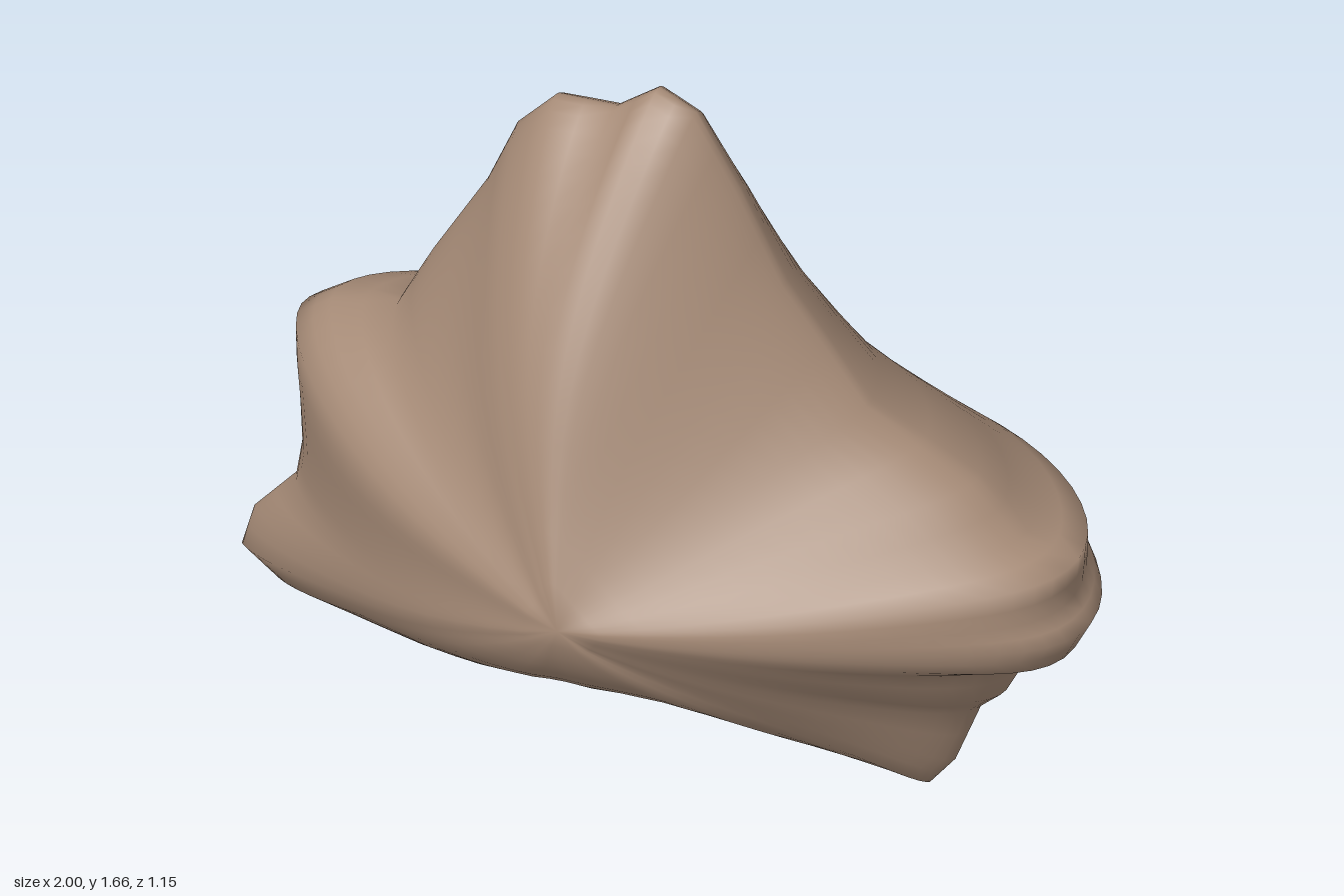
import * as THREE from 'three';

// Outline of the rock from the front, clockwise from the summit.
// p and q set how each lobe thins from the middle (s = 0) to its rim (s = 1).
const LOBES = [
  { p: 1, q: 0.7, pts: [[-0.02, 1.66], [0.07, 1.62], [0.17, 1.45], [0.28, 1.23]] },
  { p: 1.15, q: 0.68, pts: [[0.48, 0.97], [0.73, 0.84]] },
  { p: 1.2, q: 0.48, pts: [[0.85, 0.74], [0.97, 0.7], [0.96, 0.6], [1, 0.54], [0.96, 0.46], [0.87, 0.44]] },
  { p: 1.15, q: 0.65, pts: [[0.8, 0.3], [0.74, 0.24]] },
  { p: 1.1, q: 0.8, pts: [[0.68, 0.08], [0.62, 0], [0.44, 0.03]] },
  { p: 1.8, q: 0.8, pts: [[0.3, 0.13], [0.12, 0.17], [0, 0.13], [-0.18, 0.15], [-0.3, 0.13], [-0.4, 0.08]] },
  { p: 1.35, q: 0.85, pts: [[-0.63, 0.06], [-0.92, 0.09], [-1, 0.15], [-0.97, 0.26], [-0.87, 0.38]] },
  { p: 1.2, q: 0.55, pts: [[-0.85, 0.5], [-0.85, 0.67], [-0.86, 0.83], [-0.78, 0.89]] },
  { p: 1.15, q: 0.68, pts: [[-0.63, 0.91], [-0.55, 1.07]] },
  { p: 1, q: 0.7, pts: [[-0.42, 1.3], [-0.35, 1.47], [-0.26, 1.57], [-0.12, 1.58]] },
];
const CENTRE = { x: 0, y: 0.6 };
const DEPTH = 0.575;
const RINGS = 16;
const { lerp, clamp } = THREE.MathUtils;

// Outline with a midpoint in every segment
function makeRim() {
  const raw = LOBES.flatMap(({ p, q, pts }) => pts.map(([x, y]) => ({ x, y, p, q })));
  return raw.flatMap((a, i) => {
    const b = raw[(i + 1) % raw.length];
    const mid = {};
    for (const k of ['x', 'y', 'p', 'q']) mid[k] = (a[k] + b[k]) / 2;
    return [a, mid];
  });
}

// Softer outline and lobe settings, averaged over neighbours
function soften(rim, reach) {
  const n = rim.length;
  const weight = 1 / (2 * reach + 1);
  return rim.map((_, i) => {
    const sum = { x: 0, y: 0, p: 0, q: 0 };
    for (let k = -reach; k <= reach; k++) {
      const o = rim[(i + k + n) % n];
      for (const key of Object.keys(sum)) sum[key] += o[key] * weight;
    }
    return sum;
  });
}

// Surface point at s between the middle and the rim, on the front (side 1) or back (-1)
function surfacePoint(rim, soft, s, side) {
  const blend = s ** 3;
  const high = clamp(rim.y - CENTRE.y, 0, 1) ** 2;
  const lean = -0.07 * Math.sin(Math.PI * s) * high;
  const x = lerp(CENTRE.x, lerp(soft.x, rim.x, blend), s) + lean;
  const y = lerp(CENTRE.y, lerp(soft.y, rim.y, blend), s);
  const rounded = (Math.hypot(s, 0.04) - 0.04) / (Math.hypot(1, 0.04) - 0.04);
  const thick = DEPTH * Math.pow(1 - Math.pow(rounded, soft.p), soft.q);
  // The right arm sits towards the back
  const fade = 4 * s * (1 - s);
  const shift = -0.09 * fade * Math.max(0, x);
  const bump = 0.01 * fade * Math.sin(5.3 * x + 1.7 * side) * Math.sin(6.1 * y + side);
  return [x, y, side * (thick + bump) + shift];
}

function rockGeometry() {
  const rim = makeRim();
  const soft = soften(rim, 3);
  const n = rim.length;
  const positions = [];
  const index = [];

  // Shared rim
  rim.forEach(({ x, y }) => positions.push(x, y, 0));

  for (const side of [1, -1]) {
    const tri = (a, b, c) => (side > 0 ? index.push(a, b, c) : index.push(a, c, b));
    const start = positions.length / 3;
    positions.push(CENTRE.x, CENTRE.y, side * DEPTH);

    // Rings between the middle and the rim, closer together near the rim
    for (let i = 1; i < RINGS; i++) {
      const s = Math.sin((i / RINGS) * Math.PI / 2);
      for (let j = 0; j < n; j++) positions.push(...surfacePoint(rim[j], soft[j], s, side));
    }

    const at = (i, j) => (i === RINGS ? j % n : start + 1 + (i - 1) * n + (j % n));
    for (let j = 0; j < n; j++) {
      tri(start, at(1, j + 1), at(1, j));
      for (let i = 1; i < RINGS; i++) {
        tri(at(i, j), at(i, j + 1), at(i + 1, j + 1));
        tri(at(i, j), at(i + 1, j + 1), at(i + 1, j));
      }
    }
  }

  const geometry = new THREE.BufferGeometry();
  geometry.setAttribute('position', new THREE.Float32BufferAttribute(positions, 3));
  geometry.setIndex(index);
  geometry.computeVertexNormals();
  return geometry;
}

export function createModel() {
  const stone = new THREE.MeshStandardMaterial({ color: 0xa58a76 });
  stone.name = 'brown stone';

  const rock = new THREE.Mesh(rockGeometry(), stone);
  rock.name = 'rock';

  const group = new THREE.Group();
  group.name = 'boulder';
  group.add(rock);
  return group;
}
